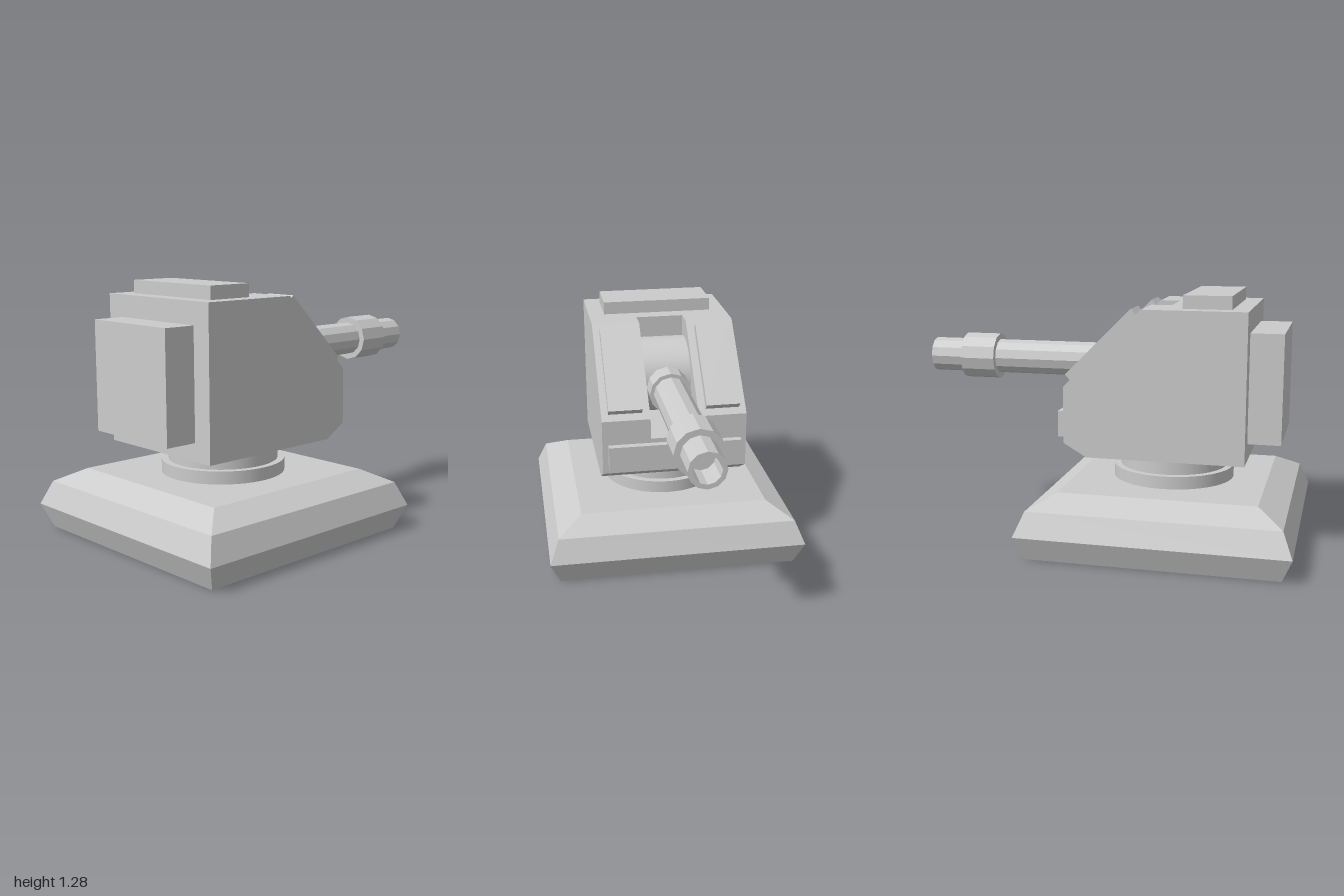
import * as THREE from 'three';

const flat = new THREE.MeshStandardMaterial({ color: 0xcccccc, flatShading: true });
const shell = new THREE.MeshStandardMaterial({ color: 0xcccccc, flatShading: true, side: THREE.DoubleSide });
const smooth = new THREE.MeshStandardMaterial({ color: 0xcccccc });
const AXIS_X = -0.325; // turret's vertical axis
const GUN_Y = 0.91;

const v2 = (points) => points.map(([x, y]) => new THREE.Vector2(x, y));

export function createModel() {
  const model = new THREE.Group();

  const add = (name, geometry, material = flat) => {
    const mesh = new THREE.Mesh(geometry, material);
    mesh.name = name;
    model.add(mesh);
    return mesh;
  };

  // Box given by its limits in x and y, centred on z
  const box = (name, x0, x1, y0, y1, halfZ) =>
    add(name, new THREE.BoxGeometry(x1 - x0, y1 - y0, halfZ * 2))
      .position.set((x0 + x1) / 2, (y0 + y1) / 2, 0);

  // Side outline extruded between two z values
  const slab = (name, outline, z0, z1) =>
    add(name, new THREE.ExtrudeGeometry(new THREE.Shape(v2(outline)), { depth: z1 - z0, bevelEnabled: false }))
      .position.z = z0;

  // Twelve-sided turned part lying along x; profile is [radius, x]
  const turned = (name, profile) =>
    add(name, new THREE.LatheGeometry(v2(profile), 12).rotateZ(-Math.PI / 2))
      .position.y = GUN_Y;

  // Square base, a thin shell open underneath: half-widths and heights
  const baseProfile = [
    [0.625, 0], [0.675, 0.123], [0.625, 0.245], [0.495, 0.315], [0, 0.315],
  ].map(([half, y]) => [half * Math.SQRT2, y]);
  add('base', new THREE.LatheGeometry(v2(baseProfile), 4, Math.PI / 4), shell).position.x = AXIS_X;

  // Swivel ring and neck
  for (const [name, radius, y0, y1] of [
    ['swivelRing', 0.315, 0.3, 0.38],
    ['neck', 0.28, 0.38, 0.475],
  ]) {
    add(name, new THREE.CylinderGeometry(radius, radius, y1 - y0, 48), smooth)
      .position.set(AXIS_X, (y0 + y1) / 2, 0);
  }

  // Turret body: a notched core between two full-height cheeks
  const underside = [[-0.737, 0.47], [0.055, 0.47], [0.172, 0.538]];
  slab('turretCore', [...underside, [0.172, 0.718], [-0.325, 0.718], [-0.325, 1.218], [-0.737, 1.218]], -0.125, 0.125);
  const cheek = [...underside, [0.172, 0.825], [-0.22, 1.218], [-0.737, 1.218]];
  const slopePlate = [[-0.193, 1.185], [-0.162, 1.216], [0.173, 0.881], [0.142, 0.85]];
  for (const [side, s] of [['left', 1], ['right', -1]]) {
    const between = (name, outline, a, b) => slab(name, outline, Math.min(s * a, s * b), Math.max(s * a, s * b));
    between(side + 'Cheek', cheek, 0.125, 0.375);
    between(side + 'SlopePlate', slopePlate, 0.165, 0.34);
  }

  // Plates and boxes on the turret
  box('roofHatch', -0.65, -0.41, 1.215, 1.284, 0.29);
  box('rearBox', -0.902, -0.735, 0.56, 1.107, 0.27);
  box('nosePlate', 0.165, 0.21, 0.563, 0.695, 0.345);

  // Round gun mount in the slot
  add('gunMount', new THREE.CylinderGeometry(0.2, 0.2, 0.25, 48).rotateX(Math.PI / 2), smooth)
    .position.set(-0.26, 0.918, 0);

  // Gun: collar, bored barrel and sleeve
  turned('barrelCollar', [[0, -0.062], [0.11, -0.062], [0.11, 0.05], [0, 0.05]]);
  turned('barrel', [[0, -0.1], [0.09, -0.1], [0.09, 1], [0.067, 1], [0.067, 0.85], [0, 0.85]]);
  turned('barrelSleeve', [[0.085, 0.635], [0.121, 0.635], [0.121, 0.82], [0.085, 0.82]]);

  return model;
}
